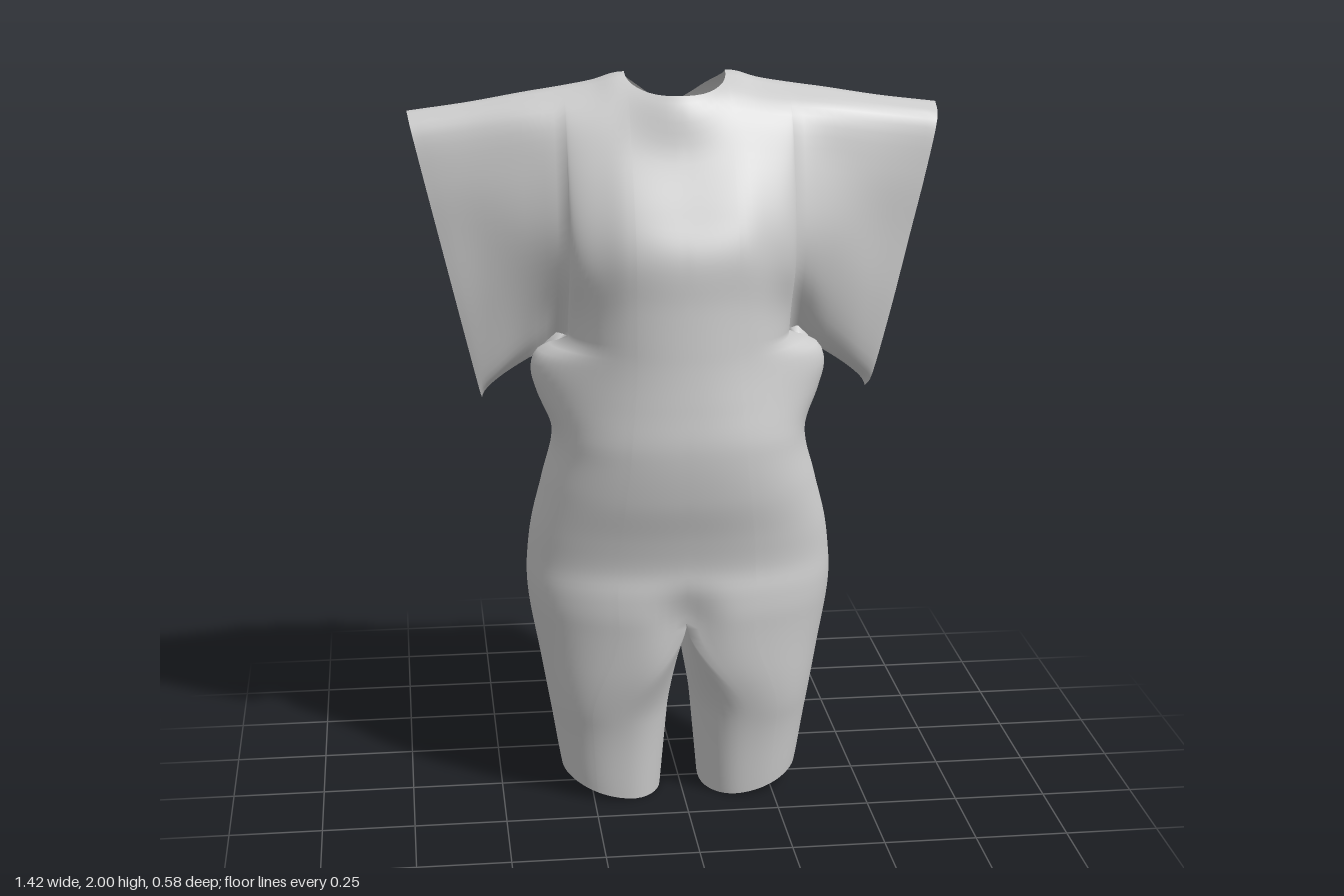
import * as THREE from 'three';

const ARM = 0.3, HEM = 0.71, NECK = 0.135, TOP = 1.3, CROTCH = 0.54;

// Shoulder panels: distance from centre, then (y, z) pairs from bottom seam to shoulder ridge
const FRONT = [
  [-0.15, 1.3, .235, 1.42, .23, 1.55, .232, 1.66, .195, 1.8, .12, 1.935, .035, 1.995, -.08],
  [0, 1.3, .265, 1.42, .257, 1.55, .25, 1.66, .2, 1.8, .127, 1.945, .07, 1.99, -.08],
  [0.15, 1.3, .235, 1.42, .23, 1.55, .232, 1.66, .195, 1.8, .12, 1.935, .035, 1.995, -.08],
  [0.22, 1.3, .18, 1.4, .18, 1.53, .195, 1.645, .175, 1.79, .11, 1.92, .03, 1.975, -.085],
  [0.3, 1.3, 0, 1.38, .045, 1.5, .115, 1.62, .13, 1.78, .085, 1.91, .02, 1.96, -.09],
  [0.4, 1.24, -.03, 1.31, .015, 1.45, .06, 1.6, .078, 1.77, .05, 1.9, .01, 1.945, -.09],
  [0.55, 1.17, -.06, 1.22, -.005, 1.4, .022, 1.58, .025, 1.74, .02, 1.88, -.01, 1.92, -.09],
  [0.71, 1.115, -.07, 1.165, -.02, 1.35, 0, 1.55, 0, 1.72, 0, 1.86, -.02, 1.9, -.09],
];
const BACK = [
  [-0.15, 1.3, -.24, 1.42, -.25, 1.55, -.262, 1.7, -.267, 1.82, -.25, 1.94, -.19, 1.995, -.08],
  [0, 1.3, -.265, 1.42, -.262, 1.55, -.26, 1.7, -.262, 1.82, -.25, 1.93, -.2, 1.99, -.08],
  [0.15, 1.3, -.24, 1.42, -.25, 1.55, -.262, 1.7, -.267, 1.82, -.25, 1.94, -.19, 1.995, -.08],
  [0.22, 1.3, -.18, 1.4, -.18, 1.53, -.2, 1.68, -.23, 1.81, -.23, 1.93, -.175, 1.975, -.085],
  [0.3, 1.3, 0, 1.38, -.045, 1.5, -.09, 1.66, -.15, 1.8, -.192, 1.92, -.165, 1.96, -.09],
  [0.4, 1.24, -.03, 1.31, -.07, 1.45, -.115, 1.6, -.16, 1.77, -.19, 1.9, -.162, 1.945, -.09],
  [0.55, 1.17, -.06, 1.22, -.1, 1.4, -.13, 1.58, -.16, 1.74, -.185, 1.88, -.162, 1.92, -.09],
  [0.71, 1.115, -.07, 1.165, -.11, 1.35, -.138, 1.55, -.16, 1.72, -.178, 1.86, -.165, 1.9, -.09],
];
// Body outline: y, half width, front z, back z
const BODY = [
  [0, .33, .152, -.15], [.2, .355, .175, -.152], [.4, .387, .222, -.163], [.54, .412, .24, -.2],
  [.62, .42, .238, -.25], [.69, .417, .23, -.28], [.78, .405, .245, -.288], [.9, .375, .275, -.27],
  [1.04, .345, .29, -.26], [1.15, .385, .28, -.26], [1.22, .4, .272, -.263], [1.27, .375, .267, -.265],
  [1.3, .3, .265, -.265],
];

// Smooth interpolation through table rows [key, ...values]
function at(rows, k) {
  let i = 0;
  while (i < rows.length - 2 && k > rows[i + 1][0]) i++;
  const a = rows[i], b = rows[i + 1], p = rows[i - 1] || a, q = rows[i + 2] || b;
  const h = b[0] - a[0], s = (k - a[0]) / h, s2 = s * s, s3 = s2 * s;
  return a.slice(1).map((_, j) => {
    const c = j + 1;
    const ma = (b[c] - p[c]) / (b[0] - p[0]), mb = (q[c] - a[c]) / (q[0] - a[0]);
    return (2 * s3 - 3 * s2 + 1) * a[c] + (s3 - 2 * s2 + s) * h * ma
      + (3 * s2 - 2 * s3) * b[c] + (s3 - s2) * h * mb;
  });
}

const smooth = (x) => THREE.MathUtils.smoothstep(x, 0, 1);
const oval = (f, n = 2.3) => Math.pow(Math.max(0, 1 - Math.pow(f, n)), 1 / n);

// Fractions across the half width, dense at the neck corner and at the side
const ACROSS = [];
for (let i = 0; i <= 10; i++) ACROSS.push(NECK / ARM * Math.sin(i / 10 * Math.PI / 2));
const a0 = Math.asin(NECK / ARM);
for (let i = 1; i <= 16; i++) ACROSS.push(Math.sin(a0 + (Math.PI / 2 - a0) * i / 16));
const SLEEVE = Array.from({ length: 15 }, (_, i) => ARM + (HEM - ARM) * i / 14);

// Centre groove between the legs and the buttocks, as a factor on z
function groove(x, y, side) {
  const depth = side > 0 ? 0.14 * smooth((0.68 - y) / 0.14) : 0.26 * smooth((0.82 - y) / 0.28);
  return 1 - depth * Math.exp(-((x / 0.075) ** 2));
}

// Body point at height y, fraction f from centre to side, front (+1) or back (-1)
function bodyPoint(y, f, side) {
  const [hw, zf, zb] = at(BODY, y), up = smooth((y - 0.95) / 0.35);
  const base = hw + (Math.min(hw, 0.35 - 0.05 * up) - hw) * smooth((y - 0.98) / 0.1);
  const x = base * f + (hw - base) * f ** 8; // side pouch under the arm
  const z = (side > 0 ? zf : zb) * oval(f, 2.3 - 0.2 * up) * groove(x, y, side);
  return [x, y, z];
}

// Point on the shoulder and sleeve panels, u outward, v from bottom seam to ridge
function panelPoint(u, v, side) {
  const c = at(side > 0 ? FRONT : BACK, u);
  const rows = Array.from({ length: 7 }, (_, i) => [i, c[2 * i], c[2 * i + 1]]);
  let end = 6;
  if (u < NECK - 1e-6) { // stop at the oval neckline
    const edge = -0.08 + side * 0.145 * Math.sqrt(1 - (u / NECK) ** 2);
    let lo = 3;
    for (let i = 0; i < 30; i++) {
      const mid = (lo + end) / 2;
      if ((at(rows, mid)[1] - edge) * side > 0) lo = mid; else end = mid;
    }
  }
  let [y, z] = at(rows, v * end);
  if (u > ARM) return [u - 0.44 * (1.9 - y) / 0.785 * (u - ARM) ** 2 / (HEM - ARM), y, z];
  const join = (1 - v) ** 2.5; // meet the body ring at the bottom seam
  y += (TOP - rows[0][1]) * join;
  z += (bodyPoint(TOP, Math.min(1, u / ARM), side)[2] - rows[0][2]) * join;
  return [u, y, z];
}

// Leg ring: half the body at the crotch, its inner wall rounding into a tube below
const LEG = [
  ...ACROSS.map((f) => ({ f, side: 1 })),
  ...ACROSS.slice(0, -1).reverse().map((f) => ({ f, side: -1 })),
  ...Array.from({ length: 20 }, (_, i) => ({
    inner: Math.sin((i + 1) / 20 * Math.PI), side: i < 9 ? -1 : 1,
  })),
];
function legPoint({ f, inner, side }, v) {
  const y = CROTCH * v, s = smooth((CROTCH - y) / 0.3), [hw, zf, zb] = at(BODY, y);
  const gap = 0.055 - 0.09 * y, r = s * (hw - gap) * 0.42, c = s * gap + r;
  const x = inner === undefined ? c + (hw - c) * f : c - r * inner;
  const dip = 1 + (groove(x, y, side) - 1) * (1 - s);
  const z = (side > 0 ? zf : zb) * oval(inner ?? f) * dip;
  const rise = 0.06 * (Math.max(0, x - 0.1) / 0.23) ** 2; // hem lifts at the outer side
  return [x, y + rise * (1 - v) ** 4, z];
}

// Grid surface through fn(u, v); mirror = -1 makes the other half
function grid(us, nv, fn, flip, mirror) {
  const pos = [], idx = [], w = nv + 1;
  us.forEach((u) => {
    for (let j = 0; j <= nv; j++) {
      const [x, y, z] = fn(u, j / nv);
      pos.push(x * mirror, y, z);
    }
  });
  for (let i = 0; i < us.length - 1; i++) for (let j = 0; j < nv; j++) {
    const a = i * w + j, b = a + w;
    if (flip !== (mirror < 0)) idx.push(a, a + 1, b, b, a + 1, b + 1);
    else idx.push(a, b, a + 1, b, b + 1, a + 1);
  }
  const g = new THREE.BufferGeometry();
  g.setAttribute('position', new THREE.Float32BufferAttribute(pos, 3));
  g.setIndex(idx);
  g.computeVertexNormals();
  return g;
}

// Share normals between parts wherever their edges meet
function blendNormals(geos) {
  const sums = new Map(), v = new THREE.Vector3();
  const key = (p, i) => [p.getX(i), p.getY(i), p.getZ(i)].map((n) => Math.round(n * 2000) + 0).join();
  for (const pass of [0, 1]) for (const { attributes: { position: p, normal: n } } of geos) {
    for (let i = 0; i < p.count; i++) {
      const k = key(p, i);
      if (!sums.has(k)) sums.set(k, new THREE.Vector3(0, -1e-4, 0));
      if (pass === 0) sums.get(k).add(v.fromBufferAttribute(n, i));
      else { v.copy(sums.get(k)).normalize(); n.setXYZ(i, v.x, v.y, v.z); }
    }
  }
}

export function createModel() {
  const group = new THREE.Group();
  const material = new THREE.MeshStandardMaterial({ color: 0xcccccc, side: THREE.DoubleSide });
  const add = (name, geometry) => {
    const mesh = new THREE.Mesh(geometry, material);
    mesh.name = name;
    group.add(mesh);
  };
  const chest = ACROSS.map((f) => f * ARM);
  for (const [m, hand] of [[1, 'left'], [-1, 'right']]) {
    for (const [side, face] of [[1, 'Front'], [-1, 'Back']]) {
      const panel = (u, v) => panelPoint(u, v, side);
      const torso = (f, v) => bodyPoint(CROTCH + (TOP - CROTCH) * v, f, side);
      add(`${hand}Chest${face}`, grid(chest, 30, panel, side < 0, m));
      add(`${hand}Sleeve${face}`, grid(SLEEVE, 30, panel, side < 0, m));
      add(`${hand}Torso${face}`, grid(ACROSS, 44, torso, side < 0, m));
    }
    add(`${hand}Leg`, grid(LEG, 30, legPoint, false, m));
  }
  blendNormals(group.children.map((c) => c.geometry));
  return group;
}
